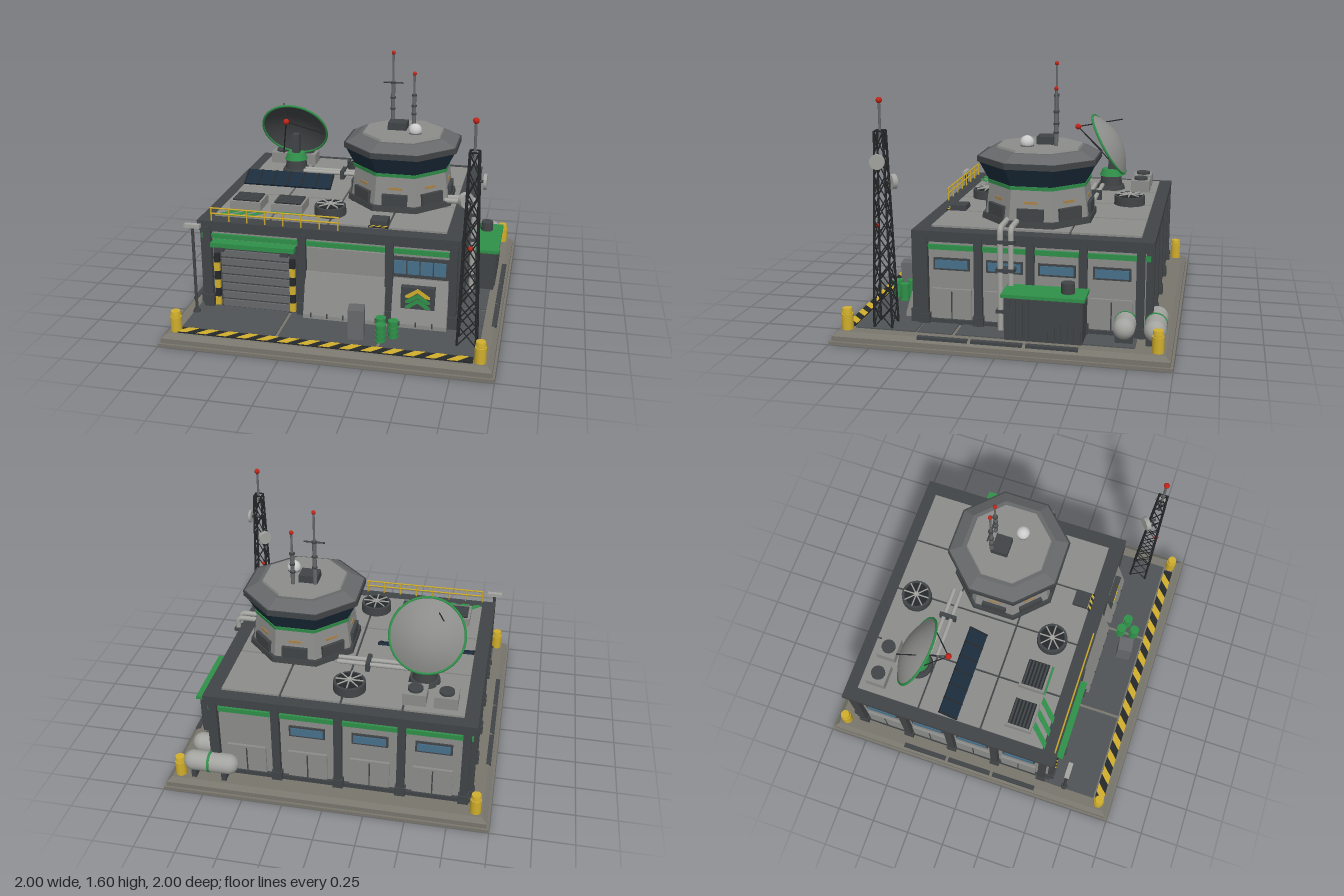
import * as THREE from 'three';

const C = { wall: 0x8c8c8a, light: 0xa3a3a0, mid: 0x66686a, dark: 0x414446, black: 0x25282a, base: 0x77756c, ground: 0x505356,
  green: 0x2f8f49, yellow: 0xd0ae2c, glass: 0x46708c, navy: 0x1b2c3c, red: 0xc02418, white: 0xd4d4d2, amber: 0xa8834a };
const mats = {};
const mat = (c, open) => mats[c + '' + !!open] ??= new THREE.MeshStandardMaterial({ color: c, side: open ? THREE.DoubleSide : THREE.FrontSide });
const V = (x, y, z) => new THREE.Vector3(x, y, z);

export function createModel() {
  const root = new THREE.Group();
  let target = root;
  const add = (name, geo, color, open) => {
    const m = new THREE.Mesh(geo, mat(color, open));
    m.name = name; target.add(m); return m;
  };
  const group = (name, x = 0, y = 0, z = 0, ry = 0) => {
    const g = new THREE.Group();
    g.name = name; g.position.set(x, y, z); g.rotation.y = ry; root.add(g); target = g; return g;
  };
  // Box from its limits on each axis
  const box = (name, c, x0, x1, y0, y1, z0, z1) =>
    add(name, new THREE.BoxGeometry(x1 - x0, y1 - y0, z1 - z0).translate((x0 + x1) / 2, (y0 + y1) / 2, (z0 + z1) / 2), c);
  // Upright round part
  const cyl = (name, c, rb, rt, y0, y1, x, z, n = 20) =>
    add(name, new THREE.CylinderGeometry(rt, rb, y1 - y0, n).translate(x, (y0 + y1) / 2, z), c);
  // Upright prism measured across its flats
  const prism = (name, c, n, hb, ht, y0, y1, x, z) => {
    const k = Math.cos(Math.PI / n);
    const g = new THREE.CylinderGeometry(ht / k, hb / k, y1 - y0, n).rotateY(Math.PI / n).translate(x, (y0 + y1) / 2, z).toNonIndexed();
    g.computeVertexNormals();
    return add(name, g, c);
  };
  const rod = (name, c, a, b, r, n = 6) => {
    const d = b.clone().sub(a), m = add(name, new THREE.CylinderGeometry(r, r, d.length(), n), c);
    m.position.copy(a).add(b).multiplyScalar(0.5);
    m.quaternion.setFromUnitVectors(V(0, 1, 0), d.normalize());
    return m;
  };
  const ball = (name, c, r, x, y, z) => add(name, new THREE.SphereGeometry(r, 16, 12).translate(x, y, z), c);
  const plate = (pts, depth) => new THREE.ExtrudeGeometry(new THREE.Shape(pts.map(p => new THREE.Vector2(...p))), { depth, bevelEnabled: false });
  // Slanted bars lying flat
  const bars = (name, c, n, x, z, pitch, w, h, y) => {
    for (let i = 0; i < n; i++)
      add(name, plate([[0, 0], [w, 0], [w + h, h], [h, h]], 0.004).rotateX(-Math.PI / 2).translate(x + i * pitch, y, z), c);
  };

  // Foundation slab and paving
  group('foundation');
  box('slabFoot', C.base, -1, 1, 0, 0.02, -1, 1);
  prism('slab', C.base, 4, 0.985, 0.985, 0.02, 0.05, 0, 0);
  prism('slabChamfer', C.base, 4, 0.985, 0.955, 0.05, 0.075, 0, 0);
  for (const [a, b] of [[-0.89, -0.31], [-0.29, 0.3], [0.32, 0.89]]) box('paving', C.ground, a, b, 0.07, 0.082, 0.5, 0.87);
  for (const [a, b] of [[-0.78, -0.3], [-0.28, 0.26], [0.28, 0.49]]) box('sidePaving', C.ground, 0.7, 0.89, 0.07, 0.082, a, b);
  box('hazardStrip', C.black, -0.91, 0.87, 0.07, 0.083, 0.88, 0.94);
  bars('hazardStripe', C.yellow, 14, -0.9, 0.94, 0.125, 0.06, 0.06, 0.082);
  for (const s of [-1, 1]) for (const z of [-0.32, 0, 0.32]) box('drain', C.dark, s * 0.955 - 0.015, s * 0.955 + 0.015, 0.05, 0.08, z - 0.15, z + 0.15);
  for (const x of [-0.91, 0.91]) for (const z of [-0.91, 0.91]) {
    cyl('bollard', C.yellow, 0.034, 0.034, 0.07, 0.17, x, z);
    cyl('bollardNeck', C.yellow, 0.026, 0.026, 0.17, 0.18, x, z);
    cyl('bollardCap', C.yellow, 0.032, 0.028, 0.18, 0.205, x, z);
  }

  // Main block with roof
  group('building');
  box('walls', C.wall, -0.85, 0.71, 0.07, 0.62, -0.83, 0.53);
  box('footing', C.dark, -0.87, 0.73, 0.07, 0.105, -0.85, 0.55);
  box('greenBand', C.green, -0.865, 0.725, 0.535, 0.565, -0.845, 0.545);
  box('upperBand', C.dark, -0.875, 0.735, 0.585, 0.615, -0.855, 0.555);
  box('roofEdge', C.dark, -0.885, 0.745, 0.615, 0.652, -0.865, 0.56);
  for (let i = 0; i < 4; i++) for (let j = 0; j < 3; j++) {
    const x = -0.8 + i * 0.366, z = -0.785 + j * 0.42;
    box('roofTile', C.wall, x, x + 0.352, 0.64, 0.664, z, z + 0.408);
  }

  // Pillars, windows and low panels of the three plain walls
  const bays = (name, x, z, ry, posts, windows) => {
    group(name, x, 0, z, ry);
    for (const u of posts) {
      box('pillar', C.dark, u - 0.024, u + 0.024, 0.09, 0.615, -0.01, 0.035);
      box('pillarFoot', C.dark, u - 0.032, u + 0.032, 0.08, 0.14, -0.01, 0.042);
    }
    for (let i = 0; i < posts.length - 1; i++) {
      const m = (posts[i] + posts[i + 1]) / 2;
      box('lowPanel', C.wall, m - 0.12, m + 0.12, 0.11, 0.295, -0.01, 0.016);
      box('panelSeam', C.dark, m - 0.004, m + 0.004, 0.11, 0.28, 0, 0.018);
      if (!windows.includes(i)) continue;
      box('windowFrame', C.dark, m - 0.11, m + 0.11, 0.41, 0.485, -0.01, 0.01);
      box('windowPane', C.glass, m - 0.098, m + 0.098, 0.422, 0.473, -0.01, 0.015);
    }
  };
  const sidePosts = [-0.64, -0.31, 0, 0.31, 0.64];
  bays('rightWall', 0.71, -0.15, Math.PI / 2, sidePosts, [0, 1, 2, 3]);
  bays('leftWall', -0.85, -0.15, -Math.PI / 2, sidePosts, [0, 1, 2, 3]);
  bays('backWall', -0.07, -0.83, Math.PI, [-0.76, -0.38, 0, 0.38, 0.76], [1, 2, 3]);

  // Front wall: door, sloped skirts, window and sign
  group('frontWall');
  for (const x of [-0.825, -0.22, 0.32, 0.705]) {
    box('pillar', C.dark, x - 0.024, x + 0.024, 0.09, 0.615, 0.5, 0.565);
    box('pillarFoot', C.dark, x - 0.032, x + 0.032, 0.08, 0.16, 0.5, 0.575);
  }
  box('doorFrame', C.dark, -0.79, -0.25, 0.08, 0.525, 0.5, 0.55);
  for (let i = 0; i < 7; i++) box('doorSlat', C.mid, -0.735, -0.3, 0.09 + i * 0.056, 0.132 + i * 0.056, 0.54, 0.562);
  for (const x of [-0.765, -0.28]) for (let i = 0; i < 6; i++)
    box('doorJamb', i % 2 ? C.black : C.yellow, x - 0.017, x + 0.017, 0.095 + i * 0.058, 0.153 + i * 0.058, 0.53, 0.572);
  box('doorHeader', C.green, -0.79, -0.26, 0.497, 0.527, 0.53, 0.6);
  for (const x of [-0.73, -0.32]) box('headerBracket', C.dark, x - 0.025, x + 0.025, 0.475, 0.5, 0.53, 0.61);
  for (const [a, b] of [[-0.2, 0.3], [0.345, 0.68]]) {
    add('skirt', plate([[0, 0.09], [0.1, 0.09], [0.1, 0.115], [0.025, 0.37], [0, 0.37]], b - a).rotateY(-Math.PI / 2).translate(b, 0, 0.525), C.wall);
    for (let x = a + 0.05; x < b; x += 0.1) box('skirtBolt', C.dark, x - 0.004, x + 0.004, 0.1, 0.13, 0.6, 0.628);
  }
  box('upperPanel', C.wall, -0.19, 0.29, 0.37, 0.525, 0.52, 0.54);
  box('windowFrame', C.dark, 0.34, 0.68, 0.385, 0.515, 0.52, 0.545);
  for (let i = 0; i < 4; i++) box('windowPane', C.glass, 0.35 + i * 0.08, 0.422 + i * 0.08, 0.41, 0.495, 0.53, 0.552);
  box('signBoard', C.dark, 0.4, 0.605, 0.205, 0.345, 0.53, 0.598);
  [C.green, C.green, C.yellow].forEach((c, i) => add('chevron',
    plate([[-0.075, 0], [-0.05, 0], [0, 0.035], [0.05, 0], [0.075, 0], [0.075, 0.012], [0, 0.062], [-0.075, 0.012]], 0.006).translate(0.502, 0.212 + i * 0.034, 0.597), c));

  // Octagonal control tower
  group('controlTower', 0.285, 0, -0.125);
  const oct = (name, c, hb, ht, y0, y1) => prism(name, c, 8, hb, ht, y0, y1, 0, 0);
  oct('towerFoot', C.dark, 0.335, 0.33, 0.65, 0.7);
  oct('towerBody', C.wall, 0.312, 0.29, 0.7, 0.885);
  oct('towerGreenBand', C.green, 0.298, 0.3, 0.883, 0.905);
  oct('towerWindows', C.navy, 0.295, 0.352, 0.905, 1.02);
  oct('towerCap', C.dark, 0.36, 0.36, 1.015, 1.05);
  oct('towerCapSlope', C.mid, 0.35, 0.275, 1.05, 1.095);
  oct('towerRoof', C.wall, 0.25, 0.245, 1.095, 1.108);
  for (let i = 0; i < 8; i++) {
    const g = new THREE.Group(), t = target;
    g.name = 'towerFace'; g.rotation.y = i * Math.PI / 4; t.add(g); target = g;
    box('towerLocker', C.dark, -0.08, 0.08, 0.7, 0.775, 0.29, 0.325);
    box('towerSlit', C.amber, -0.04, 0.04, 0.8, 0.816, 0.28, 0.303);
    target = t;
  }
  // Roof masts, box and dome
  group('towerAntennas');
  box('equipmentBox', C.dark, 0.185, 0.305, 1.1, 1.155, -0.21, -0.105);
  for (const [x, z, h] of [[0.2, -0.21, 1.59], [0.335, -0.23, 1.455]]) {
    cyl('mastLower', C.mid, 0.013, 0.013, 1.1, 1.1 + (h - 1.1) * 0.6, x, z, 10);
    cyl('mastUpper', C.mid, 0.007, 0.007, 1.1, h, x, z, 8);
    for (const t of [0.25, 0.4, 0.6]) cyl('mastCollar', C.dark, 0.017, 0.017, 1.095 + (h - 1.1) * t, 1.107 + (h - 1.1) * t, x, z, 10);
    ball('mastLight', C.red, 0.013, x, h, z);
  }
  rod('crossbar', C.dark, V(0.135, 1.395, -0.21), V(0.265, 1.395, -0.21), 0.005);
  cyl('domeFoot', C.mid, 0.04, 0.04, 1.1, 1.125, 0.37, -0.06);
  ball('dome', C.white, 0.043, 0.37, 1.13, -0.06);

  // Large dish with pedestal and feed
  group('dishPedestal');
  cyl('pedestalBase', C.dark, 0.1, 0.09, 0.65, 0.69, -0.53, -0.47);
  cyl('pedestalDrum', C.dark, 0.075, 0.07, 0.69, 0.755, -0.53, -0.47);
  cyl('pedestalCollar', C.green, 0.08, 0.06, 0.755, 0.8, -0.53, -0.47);
  box('pedestalArm', C.dark, -0.555, -0.505, 0.79, 0.93, -0.51, -0.45);
  const dish = group('dish', -0.53, 0.97, -0.45);
  dish.rotation.x = Math.PI / 2 + Math.PI / 6;
  const bowl = (name, c, k, off) => add(name, new THREE.LatheGeometry(
    Array.from({ length: 9 }, (_, i) => new THREE.Vector2(0.226 * i / 8, off - k * (1 - (i / 8) ** 2))), 40), c, true);
  bowl('dishBack', C.wall, 0.085, 0);
  bowl('dishInside', C.dark, 0.075, 0.003);
  add('dishRim', new THREE.TorusGeometry(0.226, 0.008, 8, 40).rotateX(Math.PI / 2), C.green);
  group('dishFeed');
  const feed = V(-0.53, 1.085, -0.235);
  for (const e of [V(-0.32, 0.96, -0.43), V(-0.63, 0.78, -0.5), V(-0.63, 1.13, -0.53)]) rod('feedStrut', C.black, feed, e, 0.004);
  ball('feedTip', C.red, 0.02, feed.x, feed.y, feed.z);

  // Roof equipment
  group('roofEquipment');
  const solar = box('solarPanel', C.navy, -0.3, 0.3, -0.008, 0.008, -0.065, 0.065);
  solar.position.set(-0.5, 0.7, -0.17); solar.rotation.x = 0.5;
  for (let i = 0; i <= 6; i++) {
    const r = box('solarRib', C.black, -0.005, 0.005, -0.01, 0.011, -0.066, 0.066);
    r.position.set(-0.795 + i * 0.0983, 0.7, -0.17); r.rotation.x = 0.5;
  }
  for (const x of [-0.7, -0.3]) box('solarLeg', C.dark, x - 0.01, x + 0.01, 0.65, 0.715, -0.21, -0.19);
  for (const x of [-0.685, -0.5]) {
    box('coolerBox', C.wall, x - 0.07, x + 0.07, 0.66, 0.74, -0.74, -0.615);
    cyl('coolerFan', C.dark, 0.045, 0.045, 0.74, 0.755, x, -0.678);
  }
  for (const z of [-0.64, 0.3]) {
    cyl('fanHousing', C.dark, 0.1, 0.098, 0.65, 0.72, -0.1, z, 24);
    cyl('fanWell', C.black, 0.08, 0.08, 0.72, 0.724, -0.1, z, 24);
    for (let i = 0; i < 4; i++) {
      const a = i * Math.PI / 4, dx = 0.085 * Math.cos(a), dz = 0.085 * Math.sin(a);
      rod('fanSpoke', C.light, V(-0.1 - dx, 0.728, z - dz), V(-0.1 + dx, 0.728, z + dz), 0.005);
    }
    cyl('fanHub', C.light, 0.018, 0.015, 0.72, 0.738, -0.1, z, 12);
  }
  for (const x of [-0.637, -0.367]) {
    box('ventBox', C.wall, x - 0.1, x + 0.1, 0.65, 0.72, 0.19, 0.36);
    box('ventWell', C.black, x - 0.085, x + 0.085, 0.7, 0.723, 0.205, 0.345);
    for (let i = 0; i < 6; i++) box('ventSlat', C.dark, x - 0.085, x + 0.085, 0.715, 0.73, 0.21 + i * 0.023, 0.222 + i * 0.023);
  }
  box('greenLine', C.green, -0.465, -0.27, 0.66, 0.67, 0.36, 0.372);
  bars('roofStripe', C.green, 3, -0.8, 0.475, 0.085, 0.045, 0.11, 0.664);
  box('hatch', C.dark, 0.18, 0.285, 0.65, 0.695, 0.35, 0.45);
  box('hatchStrip', C.black, 0.175, 0.295, 0.66, 0.667, 0.455, 0.475);
  bars('hatchStripe', C.yellow, 3, 0.18, 0.475, 0.038, 0.018, 0.02, 0.665);
  for (const z of [-0.42, -0.37]) rod('roofPipe', C.light, V(-0.45, 0.7, z), V(0.02, 0.7, z), 0.014, 10);
  box('pipeBracket', C.dark, -0.185, -0.16, 0.65, 0.725, -0.45, -0.34);
  for (const y of [0.7, 0.735]) rod('railing', C.yellow, V(-0.8, y, 0.545), V(0.01, y, 0.545), 0.005);
  for (let i = 0; i <= 7; i++) rod('railPost', C.yellow, V(-0.795 + i * 0.114, 0.65, 0.545), V(-0.795 + i * 0.114, 0.735, 0.545), 0.005);

  // Pipes leaving the tower and running down the wall
  group('wallPipes');
  for (const z of [-0.045, 0.018]) {
    const path = new THREE.CurvePath();
    path.add(new THREE.LineCurve3(V(0.58, 0.7, z), V(0.735, 0.7, z)));
    path.add(new THREE.QuadraticBezierCurve3(V(0.735, 0.7, z), V(0.77, 0.7, z), V(0.77, 0.665, z)));
    path.add(new THREE.LineCurve3(V(0.77, 0.665, z), V(0.77, 0.08, z)));
    add('wallPipe', new THREE.TubeGeometry(path, 60, 0.017, 10), C.light);
  }
  for (const y of [0.2, 0.45, 0.62]) box('pipeClamp', C.dark, 0.72, 0.792, y - 0.01, y + 0.01, -0.07, 0.042);

  // Generator and storage tanks
  group('generator');
  box('generatorBody', C.dark, 0.75, 0.91, 0.08, 0.345, -0.485, -0.035);
  for (let i = 0; i < 12; i++) box('generatorRib', C.dark, 0.745, 0.918, 0.1, 0.33, -0.475 + i * 0.037, -0.457 + i * 0.037);
  box('generatorLid', C.green, 0.74, 0.935, 0.34, 0.36, -0.5, -0.02);
  cyl('exhaust', C.dark, 0.04, 0.04, 0.36, 0.42, 0.83, -0.39);
  group('tanks');
  for (const z of [-0.885, -0.71]) {
    add('tank', new THREE.CapsuleGeometry(0.063, 0.22, 6, 20).rotateZ(Math.PI / 2).translate(0.72, 0.17, z), C.light);
    add('tankBand', new THREE.CylinderGeometry(0.066, 0.066, 0.015, 20).rotateZ(Math.PI / 2).translate(0.725, 0.17, z), C.green);
    for (const x of [0.63, 0.82]) box('tankCradle', C.dark, x - 0.015, x + 0.015, 0.07, 0.13, z - 0.05, z + 0.05);
  }

  // Lattice mast
  group('latticeMast', 0.815, 0, 0.705);
  const corner = (k, y) => {
    const h = 0.056 - 0.03 * (y - 0.08) / 1.17, a = Math.PI / 4 + k * Math.PI / 2;
    return V(Math.SQRT2 * h * Math.cos(a), y, Math.SQRT2 * h * Math.sin(a));
  };
  for (let k = 0; k < 4; k++) {
    rod('mastLeg', C.black, corner(k, 0.08), corner(k, 1.25), 0.007);
    for (let i = 0; i < 9; i++) {
      const y0 = 0.08 + i * 0.13, y1 = y0 + 0.13;
      rod('brace', C.black, corner(k, y0), corner(k + 1, y1), 0.004, 4);
      rod('brace', C.black, corner(k + 1, y0), corner(k, y1), 0.004, 4);
    }
    rod('topRail', C.black, corner(k, 1.25), corner(k + 1, 1.25), 0.005, 4);
  }
  cyl('mastTip', C.mid, 0.008, 0.008, 1.2, 1.42, 0, 0, 8);
  ball('topLight', C.red, 0.018, 0, 1.425, 0);
  ball('middleLight', C.red, 0.014, 0, 0.69, 0.04);
  rod('relayDish', C.light, V(0.055, 1.08, 0), V(0.073, 1.08, 0), 0.045, 20);
  rod('relayArm', C.dark, V(0, 1.08, 0), V(0.06, 1.08, 0), 0.008);
  rod('relayDish', C.light, V(-0.035, 0.945, -0.04), V(-0.055, 0.945, -0.062), 0.045, 20);
  rod('relayArm', C.dark, V(0, 0.945, 0), V(-0.04, 0.945, -0.045), 0.008);

  // Lamp post, crate and barrels
  group('yardItems');
  cyl('lampPost', C.dark, 0.01, 0.01, 0.07, 0.65, -0.875, 0.66, 8);
  cyl('lampFoot', C.dark, 0.025, 0.02, 0.07, 0.1, -0.875, 0.66, 10);
  box('lampHead', C.light, -0.925, -0.825, 0.645, 0.668, 0.645, 0.675);
  const crate = box('crate', C.mid, -0.048, 0.048, 0.08, 0.27, -0.048, 0.048);
  crate.position.set(0.165, 0, 0.77); crate.rotation.y = 0.12;
  for (const [x, z] of [[0.3, 0.71], [0.38, 0.735], [0.315, 0.8]]) {
    cyl('barrel', C.green, 0.029, 0.029, 0.08, 0.19, x, z);
    for (const y of [0.085, 0.12, 0.15, 0.185]) cyl('barrelHoop', C.green, 0.032, 0.032, y - 0.004, y + 0.004, x, z);
  }
  return root;
}
